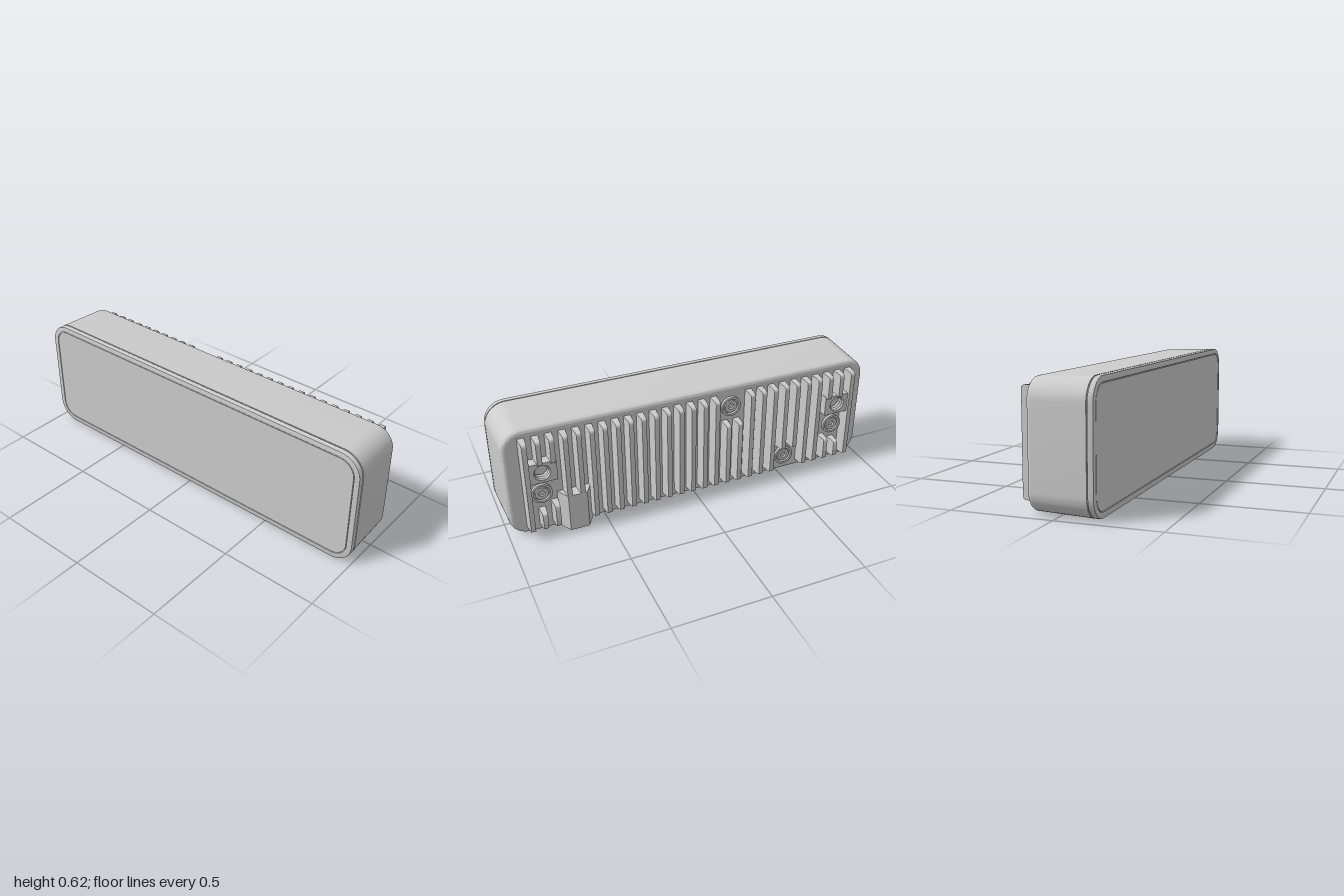
import * as THREE from 'three';
import { toCreasedNormals } from 'three/addons/utils/BufferGeometryUtils.js';

const grey = new THREE.MeshStandardMaterial({ color: 0xcccccc });
const greyBoth = new THREE.MeshStandardMaterial({ color: 0xcccccc, side: THREE.DoubleSide });
const HW = 1, HH = 0.3075, R = 0.11;
const BACK = -0.125, TIP = -0.19;

function add(parent, name, geo, mat = grey) {
  const mesh = new THREE.Mesh(geo, mat);
  mesh.name = name;
  parent.add(mesh);
  return mesh;
}

// Rounded outline, counterclockwise from the bottom right corner to the bottom left one
function outline(inset) {
  const pts = [], r = R - inset, n = 12;
  [[1, -1], [1, 1], [-1, 1], [-1, -1]].forEach(([sx, sy], q) => {
    for (let i = 0; i <= n; i++) {
      const a = (q - 1 + i / n) * Math.PI / 2;
      pts.push([sx * (HW - R) + r * Math.cos(a), HH + sy * (HH - R) + r * Math.sin(a)]);
    }
  });
  return pts;
}
const bottomLine = (x0, x1) => inset => [[x0, inset], [x1, inset]];

// Skin through [z, inset] sections listed from front to back
function loft(sections, path, closed = false) {
  const pos = [], idx = [];
  const n = path(0).length;
  for (const [z, inset] of sections) for (const [x, y] of path(inset)) pos.push(x, y, z);
  for (let s = 0; s < sections.length - 1; s++)
    for (let j = 0; j < (closed ? n : n - 1); j++) {
      const a = s * n + j, b = s * n + (j + 1) % n;
      idx.push(a, a + n, b, b, a + n, b + n);
    }
  const g = new THREE.BufferGeometry();
  g.setAttribute('position', new THREE.Float32BufferAttribute(pos, 3));
  g.setIndex(idx);
  return toCreasedNormals(g, 0.6);
}

const poly = pts => new THREE.Shape(pts.map(p => new THREE.Vector2(p[0], p[1])));
const ngon = (cx, cy, r, n, turn = 0) => poly(Array.from({ length: n }, (_, i) => {
  const a = turn + i / n * Math.PI * 2;
  return [cx + r * Math.cos(a), cy + r * Math.sin(a)];
}));
function stadium(cx, cy, w, h) {
  const s = new THREE.Shape(), d = (w - h) / 2;
  s.absarc(cx + d, cy, h / 2, -Math.PI / 2, Math.PI / 2);
  s.absarc(cx - d, cy, h / 2, Math.PI / 2, Math.PI * 1.5);
  return s;
}
function withHole(shape, hole) {
  shape.holes.push(hole);
  return shape;
}
function extrudeZ(shape, z0, z1) {
  const g = new THREE.ExtrudeGeometry(shape, { depth: z1 - z0, bevelEnabled: false, curveSegments: 16 });
  return toCreasedNormals(g.translate(0, 0, z0), 0.6);
}
// Shape drawn in x and z, raised from y0 to y1
const extrudeY = (shape, y0, y1) => extrudeZ(shape, 0, y1 - y0).rotateX(Math.PI / 2).translate(0, y1, 0);

// Ridged inner wall of a threaded hole, along y
function thread(r, depth, turns) {
  const pts = [];
  for (let i = 0; i <= turns * 2; i++)
    pts.push(new THREE.Vector2(i % 2 ? r * 0.84 : r, depth * i / (turns * 2)));
  return toCreasedNormals(new THREE.LatheGeometry(pts, 32), 0.6);
}

// Cooling fin: side profile with rounded tip corners, thinner towards the tip
function fin(x, y0, y1) {
  const h = -0.122 - TIP, r = 0.018;
  const s = new THREE.Shape();
  s.moveTo(0, y0);
  s.lineTo(h - r, y0 + 0.002);
  s.quadraticCurveTo(h, y0 + 0.002, h, y0 + r);
  s.lineTo(h, y1 - r);
  s.quadraticCurveTo(h, y1 - 0.002, h - r, y1 - 0.002);
  s.lineTo(0, y1);
  const g = new THREE.ExtrudeGeometry(s, { depth: 1, bevelEnabled: false, curveSegments: 5 });
  const p = g.attributes.position;
  for (let i = 0; i < p.count; i++)
    p.setZ(i, (p.getZ(i) - 0.5) * (0.036 - 0.012 * p.getX(i) / h));
  return toCreasedNormals(g.rotateY(Math.PI / 2), 0.6).translate(x, 0, -0.122);
}

function screw(x, y) {
  const g = new THREE.Group();
  g.name = 'screw';
  add(g, 'screwSeat', extrudeZ(withHole(ngon(0, 0, 0.054, 32), ngon(0, 0, 0.042, 32)), -0.014, 0.005));
  add(g, 'screwHead', extrudeZ(withHole(ngon(0, 0, 0.034, 32), ngon(0, 0, 0.018, 6)), -0.012, 0.005));
  g.position.set(x, y, BACK);
  return g;
}

export function createModel() {
  const model = new THREE.Group();
  model.name = 'finnedDevice';

  // Front frame and flat panel
  add(model, 'frontFrame', loft([[0.184, 0.0285], [0.19, 0.0285], [0.19, 0.004], [0.189, 0.0012],
    [0.186, 0], [0.1635, 0], [0.1635, 0.006]], outline, true));
  add(model, 'frontPanel', extrudeZ(poly(outline(0.0325)), 0.17, 0.1895));
  add(model, 'panelGrooveFloor', extrudeZ(poly(outline(0.02)), 0.17, 0.184));

  // Tapered housing with a seam in front and a rounded back edge
  const seam = [[0.1635, 0.006], [0.158, 0.006], [0.158, 0]];
  const round = [[-0.105, 0.0095]];
  for (let i = 1; i <= 6; i++) {
    const a = i / 6 * Math.PI / 2;
    round.push([-0.105 - 0.02 * Math.sin(a), 0.0295 - 0.02 * Math.cos(a)]);
  }
  const bx = 0.655, bz = -0.105, nx = 0.08, edge = HW - R;
  add(model, 'housingWall', loft([...seam, ...round], outline));
  add(model, 'bottomSeam', loft(seam, bottomLine(-edge, edge)));
  for (const [x0, x1] of [[-edge, bx - nx], [bx + nx, edge]])
    add(model, 'bottomBackEdge', loft(round, bottomLine(x0, x1)));

  // Bottom plate, open at the cable socket and the port
  const px = -0.31, pz = 0.045;
  const plate = withHole(poly([[-edge, bz], [bx - nx, bz], [bx - 0.06, -0.035], [bx + 0.06, -0.035],
    [bx + nx, bz], [edge, bz], [edge, 0.158], [-edge, 0.158]]), stadium(px, pz, 0.29, 0.115));
  const plateGeo = new THREE.ShapeGeometry(plate, 16);
  const pp = plateGeo.attributes.position;
  for (let i = 0; i < pp.count; i++) {
    const z = pp.getY(i);
    pp.setXYZ(i, pp.getX(i), 0.0095 * (0.158 - z) / 0.263, z);
  }
  plateGeo.computeVertexNormals();
  add(model, 'bottomPlate', plateGeo, greyBoth);

  // Back plate, notched for the cable socket
  const backPlate = poly([...outline(0.0295), [bx - nx, 0.0295], [bx - nx, 0.2], [bx + nx, 0.2], [bx + nx, 0.0295]]);
  add(model, 'backPlate', new THREE.ShapeGeometry(backPlate).translate(0, 0, BACK), greyBoth);

  // Port in the bottom
  add(model, 'portRecess', extrudeY(withHole(stadium(px, pz, 0.31, 0.135), stadium(px, pz, 0.29, 0.115)), 0.007, 0.03));
  add(model, 'portFloor', extrudeY(withHole(stadium(px, pz, 0.31, 0.135), stadium(px, pz, 0.17, 0.05)), 0.025, 0.035));
  add(model, 'portShell', extrudeY(withHole(stadium(px, pz, 0.2, 0.075), stadium(px, pz, 0.17, 0.05)), 0.01, 0.08));
  add(model, 'portEnd', extrudeY(stadium(px, pz, 0.2, 0.075), 0.08, 0.085));
  add(model, 'portTongue', new THREE.BoxGeometry(0.12, 0.06, 0.014).translate(px, 0.05, pz));

  // Six-sided cable socket with a threaded hole from below
  const hex = () => ngon(bx, bz, 0.085 / Math.cos(Math.PI / 6), 6);
  add(model, 'cableSocket', extrudeY(withHole(hex(), ngon(bx, bz, 0.064, 32)), 0.012, 0.18));
  add(model, 'cableSocketCap', extrudeY(hex(), 0.18, 0.22));
  add(model, 'cableSocketThread', thread(0.064, 0.165, 6).translate(bx, 0.014, bz), greyBoth);

  // Cooling fins, shortened around screws, pads and the socket
  const fins = new THREE.Group();
  fins.name = 'coolingFins';
  model.add(fins);
  const lo = 0.05, hi = 0.565;
  for (let i = 0; i < 28; i++) {
    const fromEnd = Math.min(i, 27 - i);
    let parts = [[lo, hi]];
    if (fromEnd === 1) parts = [[lo, 0.15], [0.425, hi]];
    if (fromEnd === 2) parts = [[lo, 0.18], [0.425, hi]];
    if (i === 10 || i === 11) parts = [[lo, 0.41]];
    if (i === 5 || i === 6) parts = [[0.175, hi]];
    if (i === 23 || i === 24) parts = [[0.2, hi]];
    for (const [y0, y1] of parts) add(fins, 'fin', fin(-0.891 + 0.066 * i, y0, y1));
  }

  // Mounting pads with threaded holes
  for (const s of [-1, 1]) {
    const x = s * 0.815, y = 0.383;
    const pad = poly([[x - 0.073, y - 0.055], [x + 0.073, y - 0.055], [x + 0.073, y + 0.055], [x - 0.073, y + 0.055]]);
    add(model, 'mountingPad', extrudeZ(withHole(pad, ngon(x, y, 0.042, 32)), -0.178, -0.122));
    add(model, 'mountingThread', thread(0.042, 0.05, 3).rotateX(Math.PI / 2).translate(x, y, -0.176), greyBoth);
    model.add(screw(s * 0.82, 0.235));
  }
  model.add(screw(-0.198, 0.49), screw(-0.528, 0.105));
  return model;
}
